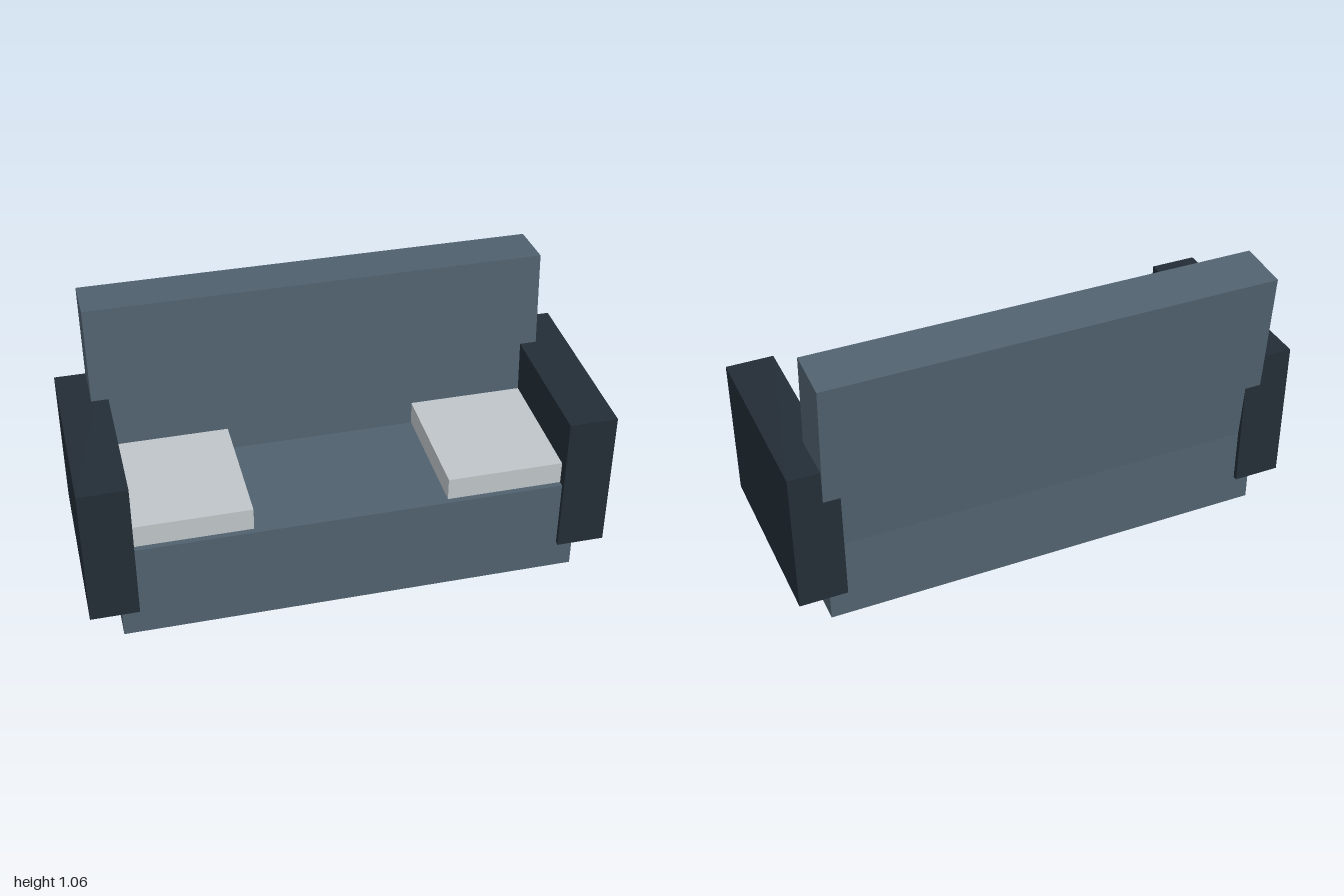
import * as THREE from 'three';

export function createModel() {
  const sofa = new THREE.Group();
  sofa.name = 'sofa';

  const fabric = new THREE.MeshStandardMaterial({ name: 'slate blue fabric', color: 0x50616f });
  const armFabric = new THREE.MeshStandardMaterial({ name: 'dark navy fabric', color: 0x232d36 });
  const cushionFabric = new THREE.MeshStandardMaterial({ name: 'pale grey fabric', color: 0xc0c5c9 });

  // Box given by its lower and upper corners
  function block(name, material, [x0, y0, z0], [x1, y1, z1]) {
    const mesh = new THREE.Mesh(new THREE.BoxGeometry(x1 - x0, y1 - y0, z1 - z0), material);
    mesh.position.set((x0 + x1) / 2, (y0 + y1) / 2, (z0 + z1) / 2);
    mesh.name = name;
    sofa.add(mesh);
    return mesh;
  }

  // Seat base
  block('seatBase', fabric, [-0.88, 0, -0.342], [0.88, 0.395, 0.382]);

  // Backrest leaning backwards, its lower edge sunk into the base
  const tilt = 0.08, height = 0.8, depth = 0.203;
  const backGeometry = new THREE.BoxGeometry(1.76, height, depth);
  backGeometry.translate(0, -height / 2, -depth / 2); // pivot on the top front edge
  const backrest = new THREE.Mesh(backGeometry, fabric);
  backrest.name = 'backrest';
  backrest.position.set(0, 1.063, -0.197);
  backrest.rotation.x = -tilt;
  sofa.add(backrest);

  // Armrests and seat cushions, mirrored
  for (const [side, s] of [['left', 1], ['right', -1]]) {
    const arm = block(side + 'Armrest', armFabric, [0.815, 0.115, -0.36], [1, 0.687, 0.4]);
    const cushion = block(side + 'Cushion', cushionFabric, [0.37, 0.395, -0.16], [0.83, 0.485, 0.36]);
    arm.position.x *= s;
    cushion.position.x *= s;
  }

  return sofa;
}
